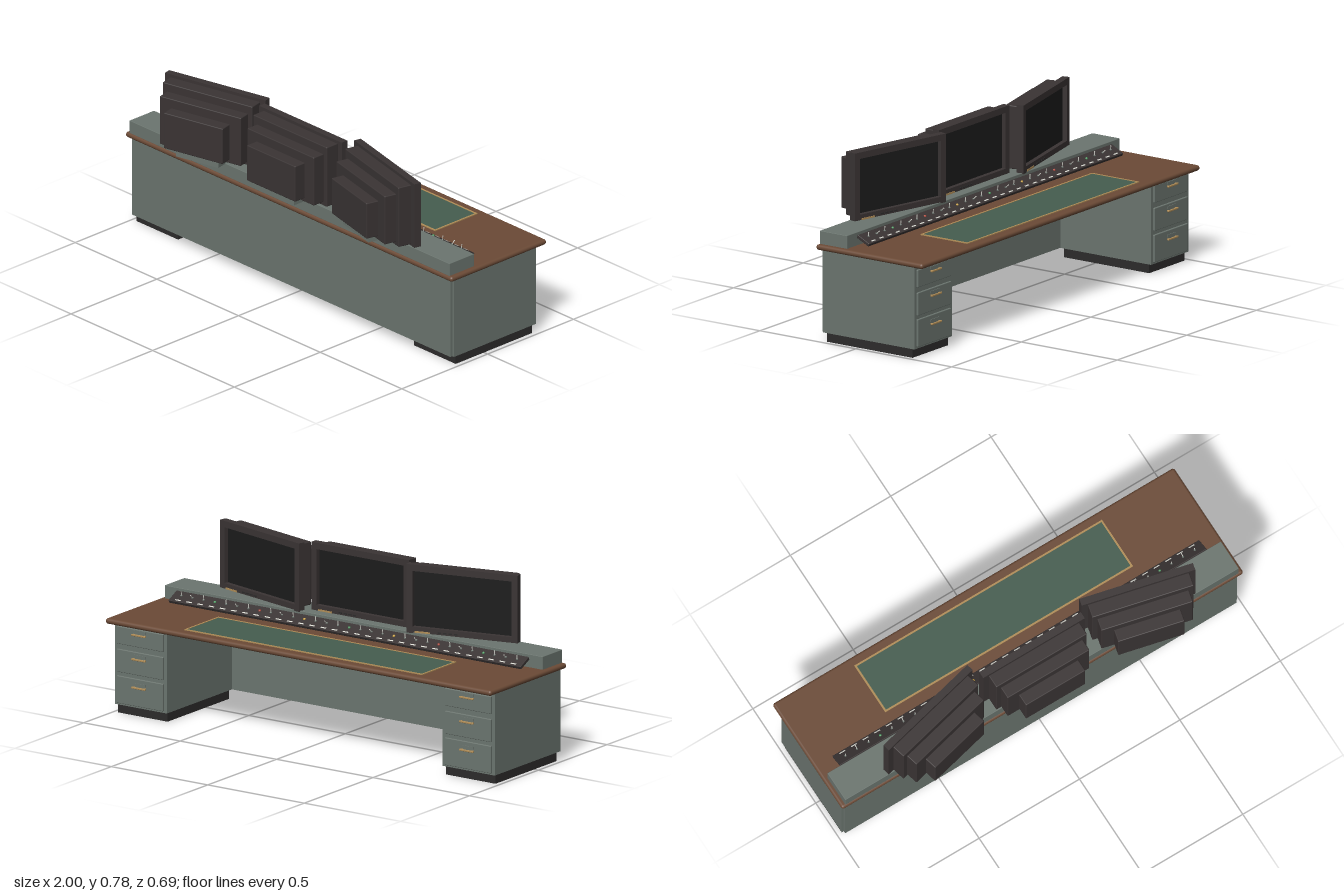
import * as THREE from 'three';
import { RoundedBoxGeometry } from 'three/addons/geometries/RoundedBoxGeometry.js';

const mat = (color) => new THREE.MeshStandardMaterial({ color });
const steel = mat(0x6b756f), wood = mat(0x6b4a36), dark = mat(0x3a3434), black = mat(0x1c1c1c);
const rubber = mat(0x2c2b2b), leather = mat(0x455d4f), brass = mat(0xb08d57), white = mat(0xd8d8d0);
const lampMats = [mat(0x4f9a62), mat(0xc9a040), mat(0xb0483c)];

function add(parent, name, geometry, material, x = 0, y = 0, z = 0) {
  const mesh = new THREE.Mesh(geometry, material);
  mesh.name = name;
  mesh.position.set(x, y, z);
  parent.add(mesh);
  return mesh;
}

// Box given by its limits on each axis; r rounds the edges
function box(parent, name, material, [x0, x1], [y0, y1], [z0, z1], r = 0) {
  const size = [x1 - x0, y1 - y0, z1 - z0];
  const geometry = r ? new RoundedBoxGeometry(...size, 3, r) : new THREE.BoxGeometry(...size);
  return add(parent, name, geometry, material, (x0 + x1) / 2, (y0 + y1) / 2, (z0 + z1) / 2);
}

function group(parent, name) {
  const g = new THREE.Group();
  g.name = name;
  parent.add(g);
  return g;
}

function rect(Type, x, y0, y1) {
  const s = new Type();
  s.moveTo(-x, y0).lineTo(x, y0).lineTo(x, y1).lineTo(-x, y1).closePath();
  return s;
}

// Rectangular frame extruded along z, with a wall of the given width
function frameGeometry(x, y0, y1, wall, depth) {
  const shape = rect(THREE.Shape, x, y0, y1);
  shape.holes.push(rect(THREE.Path, x - wall, y0 + wall, y1 - wall));
  return new THREE.ExtrudeGeometry(shape, { depth, bevelEnabled: false });
}

// Drawer pedestal on a recessed plinth
function pedestal(parent, side) {
  const g = group(parent, 'pedestal');
  g.position.x = side * 0.85;
  box(g, 'plinth', rubber, [-0.128, 0.128], [0, 0.04], [-0.28, 0.165]);
  box(g, 'cabinet', steel, [-0.135, 0.135], [0.04, 0.402], [-0.295, 0.182]);
  for (const [y0, y1, handleY] of [[0.048, 0.168, 0.131], [0.185, 0.285, 0.255], [0.308, 0.385, 0.362]]) {
    const d = group(g, 'drawer');
    box(d, 'drawerFront', steel, [-0.12, 0.12], [y0, y1], [-0.303, -0.29], 0.003);
    box(d, 'labelHolder', steel, [-0.03, 0.03], [handleY + 0.008, handleY + 0.019], [-0.306, -0.3]);
    box(d, 'handle', brass, [-0.036, 0.036], [handleY - 0.004, handleY + 0.004], [-0.316, -0.309], 0.002);
    for (const x of [-0.028, 0.028])
      box(d, 'handlePost', brass, [x - 0.004, x + 0.004], [handleY - 0.003, handleY + 0.003], [-0.312, -0.3]);
  }
}

// Monitor with its screen at local z = 0 facing -z and a stepped housing behind
function monitor(parent, x, z, turn) {
  const g = group(parent, 'monitor');
  g.position.set(x, 0, z);
  g.rotation.y = turn;
  add(g, 'bezel', frameGeometry(0.253, 0.476, 0.776, 0.028, 0.032), dark);
  box(g, 'screen', black, [-0.226, 0.226], [0.503, 0.749], [0.02, 0.0315]);
  const tiers = [[0.226, 0.486, 0.763, 0.03, 0.093], [0.204, 0.502, 0.726, 0.09, 0.148], [0.148, 0.519, 0.684, 0.145, 0.204]];
  for (const [w, y0, y1, z0, z1] of tiers)
    box(g, 'housingStep', dark, [-w, w], [y0, y1], [z0, z1], 0.004);
  box(g, 'stand', steel, [-0.107, 0.107], [0.479, 0.512], [0.03, 0.172]);
  box(g, 'namePlate', brass, [0.145, 0.215], [0.479, 0.487], [-0.003, 0.002]);
  for (let i = 0; i < 4; i++)
    box(g, 'bezelButton', rubber, [0.02 + i * 0.025, 0.035 + i * 0.025], [0.486, 0.492], [-0.003, 0.002]);
}

// Sloping strip of toggles, lamps and label marks
function console_(parent) {
  const g = group(parent, 'controlStrip');
  g.position.set(0, 0.449, 0.026);
  g.rotation.x = -0.47;
  box(g, 'stripBody', dark, [-0.913, 0.913], [-0.007, 0.007], [-0.034, 0.034], 0.002);
  const toggleGeo = new THREE.CylinderGeometry(0.0022, 0.0015, 0.02, 8).translate(0, 0.01, 0);
  const collarGeo = new THREE.CylinderGeometry(0.005, 0.005, 0.003, 12);
  const lampGeo = new THREE.SphereGeometry(0.006, 12, 6, 0, Math.PI * 2, 0, Math.PI / 2);
  for (let k = -15; k <= 15; k++) {
    const x = k * 0.058;
    box(g, 'labelMark', white, [x - 0.014, x + 0.014], [0.006, 0.0078], [-0.026, -0.02]);
    if (k % 4 === 0) {
      add(g, 'lamp', lampGeo, lampMats[(Math.abs(k) / 4) % 3], x, 0.007, 0.006);
    } else {
      add(g, 'toggleCollar', collarGeo, steel, x, 0.008, 0.006);
      add(g, 'toggle', toggleGeo, white, x, 0.007, 0.006).rotation.x = k % 2 ? 0.4 : -0.35;
    }
  }
}

export function createModel() {
  const model = new THREE.Group();
  model.name = 'controlDesk';

  // Desk
  box(model, 'desktop', wood, [-1, 1], [0.399, 0.423], [-0.346, 0.21], 0.0115);
  box(model, 'modestyPanel', steel, [-0.975, 0.975], [0.04, 0.402], [0.178, 0.193]);
  for (const side of [-1, 1]) pedestal(model, side);
  box(model, 'riser', steel, [-0.98, 0.98], [0.421, 0.48], [0.06, 0.203], 0.002);

  // Writing pad with brass trim
  box(model, 'writingPad', leather, [-0.61, 0.61], [0.42, 0.4255], [-0.3, -0.065]);
  const trim = add(model, 'padTrim', frameGeometry(0.617, -0.1235, 0.1235, 0.008, 0.006), brass, 0, 0.421, -0.182);
  trim.rotation.x = -Math.PI / 2;

  console_(model);

  // Monitors fan outwards along the riser
  monitor(model, 0, 0.107, 0);
  for (const side of [-1, 1]) monitor(model, side * 0.525, 0.112, side * -0.235);

  return model;
}
